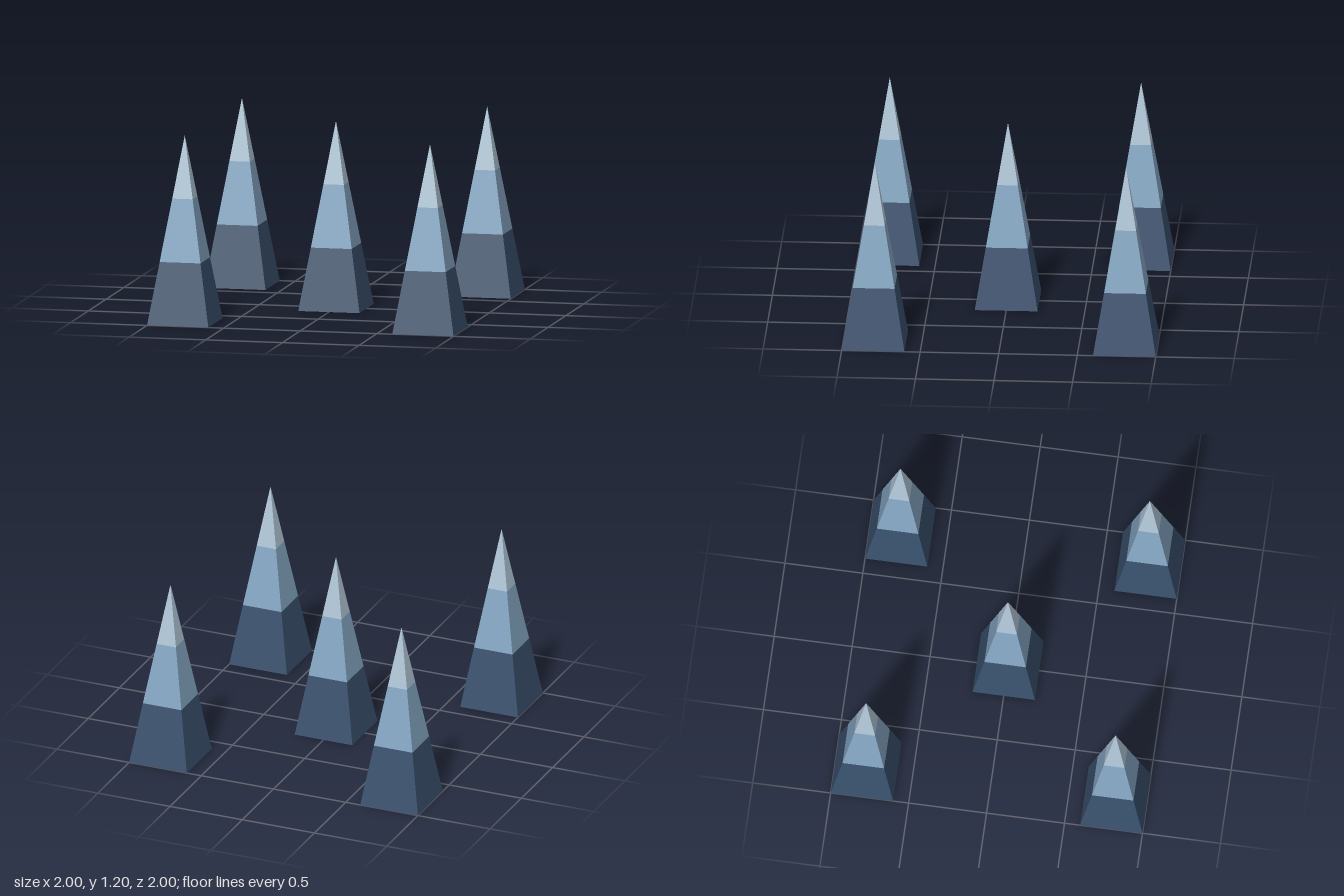
import * as THREE from 'three';

const HEIGHT = 1.2;
const HALF_WIDTH = 0.2;

function makeMaterial(name, color) {
  const material = new THREE.MeshStandardMaterial({ color, flatShading: true, side: THREE.DoubleSide });
  material.name = name;
  return material;
}

// Half width of the spike at height y
const halfWidthAt = (y) => HALF_WIDTH * (1 - y / HEIGHT);

// Open four-sided band of the spike between two heights
function bandGeometry(y0, y1) {
  const geometry = new THREE.CylinderGeometry(
    halfWidthAt(y1) * Math.SQRT2, halfWidthAt(y0) * Math.SQRT2,
    y1 - y0, 4, 1, true, Math.PI / 4
  );
  return geometry.translate(0, (y0 + y1) / 2, 0);
}

export function createModel() {
  const model = new THREE.Group();
  model.name = 'spikeCluster';

  const bands = [
    { name: 'lowerBand', y0: 0, y1: 0.4, material: makeMaterial('navy', 0x39506d) },
    { name: 'middleBand', y0: 0.4, y1: 0.8, material: makeMaterial('steelBlue', 0x85a7c4) },
    { name: 'tip', y0: 0.8, y1: HEIGHT, material: makeMaterial('paleBlue', 0xb1c7d8) },
  ].map((band) => ({ ...band, geometry: bandGeometry(band.y0, band.y1) }));

  // One spike in the centre and one at each corner
  const spikes = [
    ['centreSpike', 0, 0],
    ['frontLeftSpike', 0.8, 0.8],
    ['frontRightSpike', -0.8, 0.8],
    ['backLeftSpike', 0.8, -0.8],
    ['backRightSpike', -0.8, -0.8],
  ];
  for (const [name, x, z] of spikes) {
    const spike = new THREE.Group();
    spike.name = name;
    spike.position.set(x, 0, z);
    for (const band of bands) {
      const mesh = new THREE.Mesh(band.geometry, band.material);
      mesh.name = band.name;
      spike.add(mesh);
    }
    model.add(spike);
  }
  return model;
}
